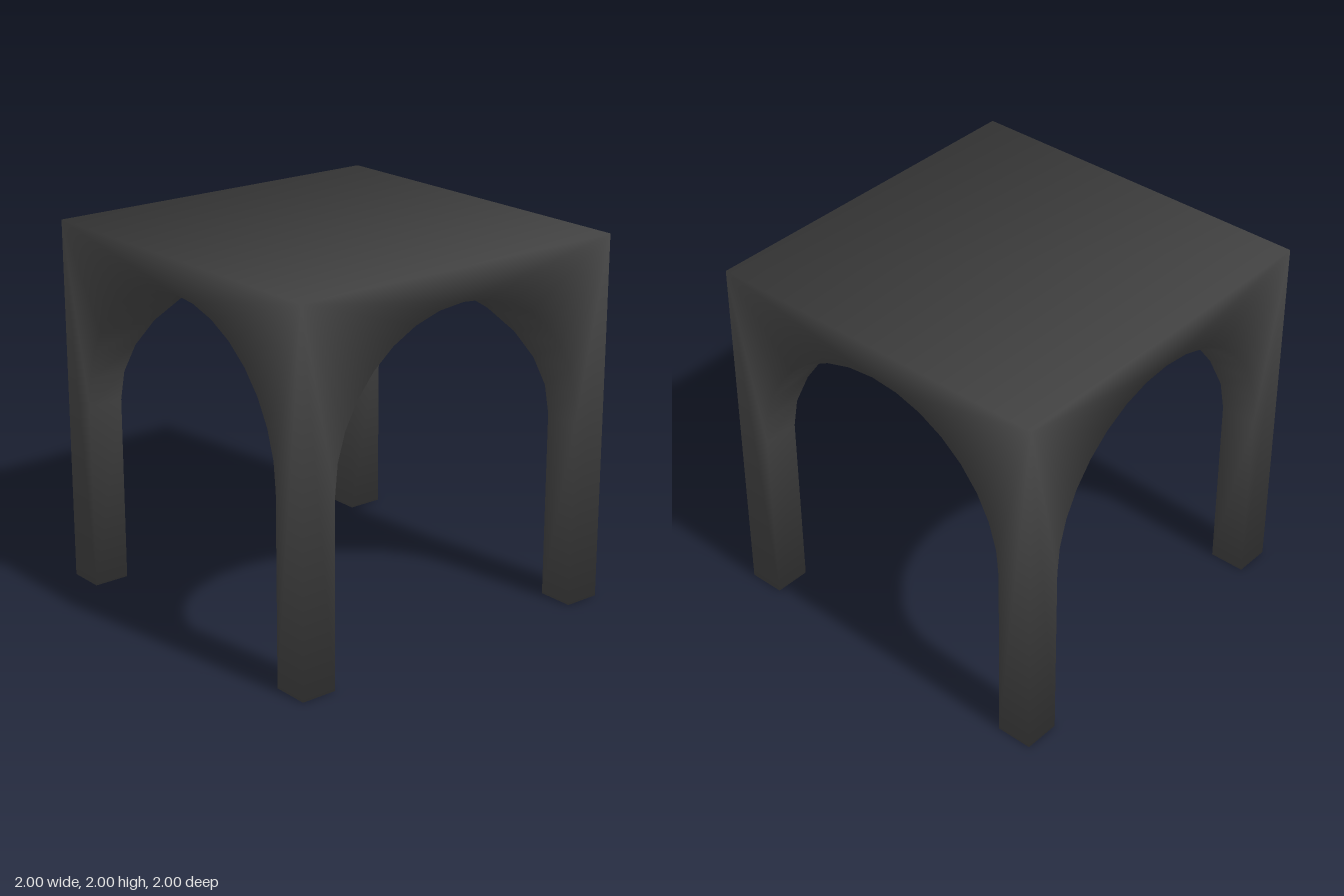
import * as THREE from 'three';
import { mergeVertices } from 'three/addons/utils/BufferGeometryUtils.js';

const HALF = 1, HEIGHT = 2, INNER = 0.8, SPRING = 1.025, SEGMENTS = 16;

// Arch outline from the right foot over the crown to the left foot
function archProfile() {
  const points = [[INNER, 0]];
  for (let i = 0; i <= SEGMENTS; i++) {
    const a = (i / SEGMENTS) * Math.PI;
    points.push([INNER * Math.cos(a), SPRING + INNER * Math.sin(a)]);
  }
  points.push([-INNER, 0]);
  return points;
}

// Smooth normals over every edge, weighted by the corner angles
function smoothByAngle(geometry) {
  const pos = geometry.attributes.position, index = geometry.index;
  const normals = Array.from({ length: pos.count }, () => new THREE.Vector3());
  const point = (i) => new THREE.Vector3().fromBufferAttribute(pos, i);
  for (let t = 0; t < index.count; t += 3) {
    const ids = [0, 1, 2].map((k) => index.getX(t + k));
    const p = ids.map(point);
    const face = new THREE.Triangle(...p).getNormal(new THREE.Vector3());
    ids.forEach((id, k) => {
      const u = p[(k + 1) % 3].clone().sub(p[k]);
      const v = p[(k + 2) % 3].clone().sub(p[k]);
      normals[id].addScaledVector(face, u.angleTo(v));
    });
  }
  const out = new Float32Array(pos.count * 3);
  normals.forEach((n, i) => n.normalize().toArray(out, i * 3));
  geometry.setAttribute('normal', new THREE.BufferAttribute(out, 3));
  return geometry;
}

function stoolGeometry() {
  const verts = [];
  const profile = archProfile();
  const mid = profile.length / 2;
  const crown = (profile.length - 1) / 2;

  for (let side = 0; side < 4; side++) {
    const turn = ([x, y, z]) => {
      for (let k = 0; k < side; k++) [x, z] = [z, -x];
      return [x, y, z];
    };
    const tri = (...corners) => corners.forEach((c) => verts.push(...turn(c)));
    const quad = (a, b, c, d) => { tri(a, b, c); tri(a, c, d); };
    const rim = profile.map(([x, y]) => [x, y, HALF]);
    const topRight = [HALF, HEIGHT, HALF], topLeft = [-HALF, HEIGHT, HALF];

    // Outer face around the arch
    tri(topRight, rim[0], [HALF, 0, HALF]);
    tri(topLeft, [-HALF, 0, HALF], rim[rim.length - 1]);
    tri(topRight, topLeft, rim[crown]);

    for (let i = 0; i < profile.length - 1; i++) {
      tri(i + 1 < mid ? topRight : topLeft, rim[i + 1], rim[i]);
      // Vault strip from the rim to the diagonal groin
      const groin = ([x, y]) => [x, y, Math.abs(x)];
      const a = groin(profile[i]), d = groin(profile[i + 1]);
      quad(a, rim[i], rim[i + 1], d);
    }

    // Sole of one leg
    quad([INNER, 0, INNER], [HALF, 0, INNER], [HALF, 0, HALF], [INNER, 0, HALF]);

    // Seat top
    if (side === 0) {
      quad([-HALF, HEIGHT, -HALF], topLeft, topRight, [HALF, HEIGHT, -HALF]);
    }
  }

  const geometry = new THREE.BufferGeometry();
  geometry.setAttribute('position', new THREE.Float32BufferAttribute(verts, 3));
  return smoothByAngle(mergeVertices(geometry, 1e-4));
}

export function createModel() {
  const charcoal = new THREE.MeshStandardMaterial({ color: 0x444444 });
  charcoal.name = 'charcoal';

  const body = new THREE.Mesh(stoolGeometry(), charcoal);
  body.name = 'archedStoolBody';

  const model = new THREE.Group();
  model.name = 'archedStool';
  model.add(body);
  return model;
}
